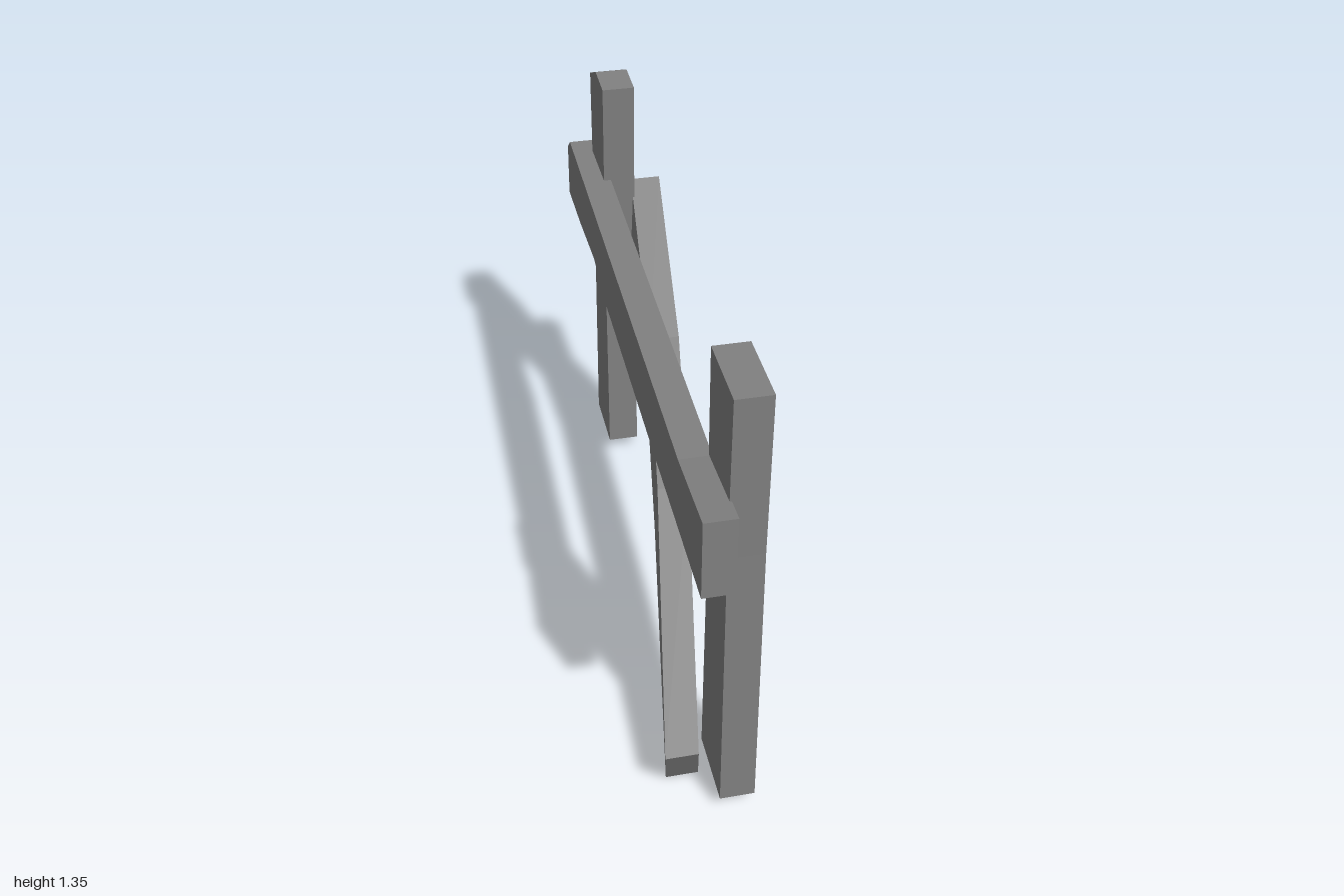
import * as THREE from 'three';

// Extrude a side outline of [z, y] points, from xMax towards -x
function plank(name, outline, xMax, width, material) {
  const shape = new THREE.Shape(outline.map(([z, y]) => new THREE.Vector2(z, y)));
  const geo = new THREE.ExtrudeGeometry(shape, { depth: width, bevelEnabled: false });
  geo.rotateY(-Math.PI / 2).translate(xMax, 0, 0);
  const mesh = new THREE.Mesh(geo, material);
  mesh.name = name;
  return mesh;
}

// Crooked beam: each section is [xTop, zTop, yTop, xBottom, zBottom, yBottom], listed from back to front
function beam(name, sections, width, material) {
  const n = sections.length - 1;
  const geo = new THREE.BoxGeometry(1, 1, 1, 1, 1, n).toNonIndexed();
  const pos = geo.attributes.position;
  for (let i = 0; i < pos.count; i++) {
    const s = sections[Math.round((pos.getZ(i) + 0.5) * n)];
    const [x, z, y] = pos.getY(i) > 0 ? s.slice(0, 3) : s.slice(3);
    pos.setXYZ(i, pos.getX(i) > 0 ? x : x - width, y, z);
  }
  geo.computeVertexNormals();
  const mesh = new THREE.Mesh(geo, material);
  mesh.name = name;
  return mesh;
}

export function createModel() {
  const wood = new THREE.MeshStandardMaterial({ color: 0x808080, flatShading: true });
  wood.name = 'grey wood';
  const fence = new THREE.Group();
  fence.name = 'fence';

  // Upright posts, slightly waisted; the back one has a chipped top corner
  fence.add(plank('frontPost', [
    [0.72, 0.04], [0.935, 0.04], [0.925, 0.88], [0.935, 1.35], [0.72, 1.35], [0.73, 0.6],
  ], 0.07, 0.095, wood));
  fence.add(plank('backPost', [
    [-0.88, 0.04], [-0.665, 0.04], [-0.68, 0.75], [-0.665, 1.345], [-0.78, 1.352], [-0.883, 1.305], [-0.868, 0.6],
  ], 0.07, 0.095, wood));

  // Horizontal rail with a notch underneath, drifting sideways along its length
  const rail = plank('rail', [
    [-1, 0.833], [-0.78, 0.842], [-0.5, 0.868], [-0.37, 0.833], [0.44, 0.831], [1, 0.836],
    [1, 1.065], [0.93, 1.058], [0.73, 1.04], [-0.95, 1.04], [-1, 1.0],
  ], -0.01, 0.085, wood);
  const pos = rail.geometry.attributes.position;
  for (let i = 0; i < pos.count; i++) pos.setX(i, pos.getX(i) - 0.01 * pos.getZ(i));
  rail.geometry.computeVertexNormals();
  fence.add(rail);

  // Diagonal brace twisting from the back post down to the front
  fence.add(beam('brace', [
    [0.16, -0.73, 1.005, 0.16, -0.825, 0.84],
    [0.12, -0.25, 0.72, 0.12, -0.32, 0.575],
    [0.05, 0.2, 0.515, 0.05, 0.16, 0.34],
    [-0.073, 0.885, 0.17, -0.053, 0.8, 0],
  ], 0.09, wood));

  return fence;
}
